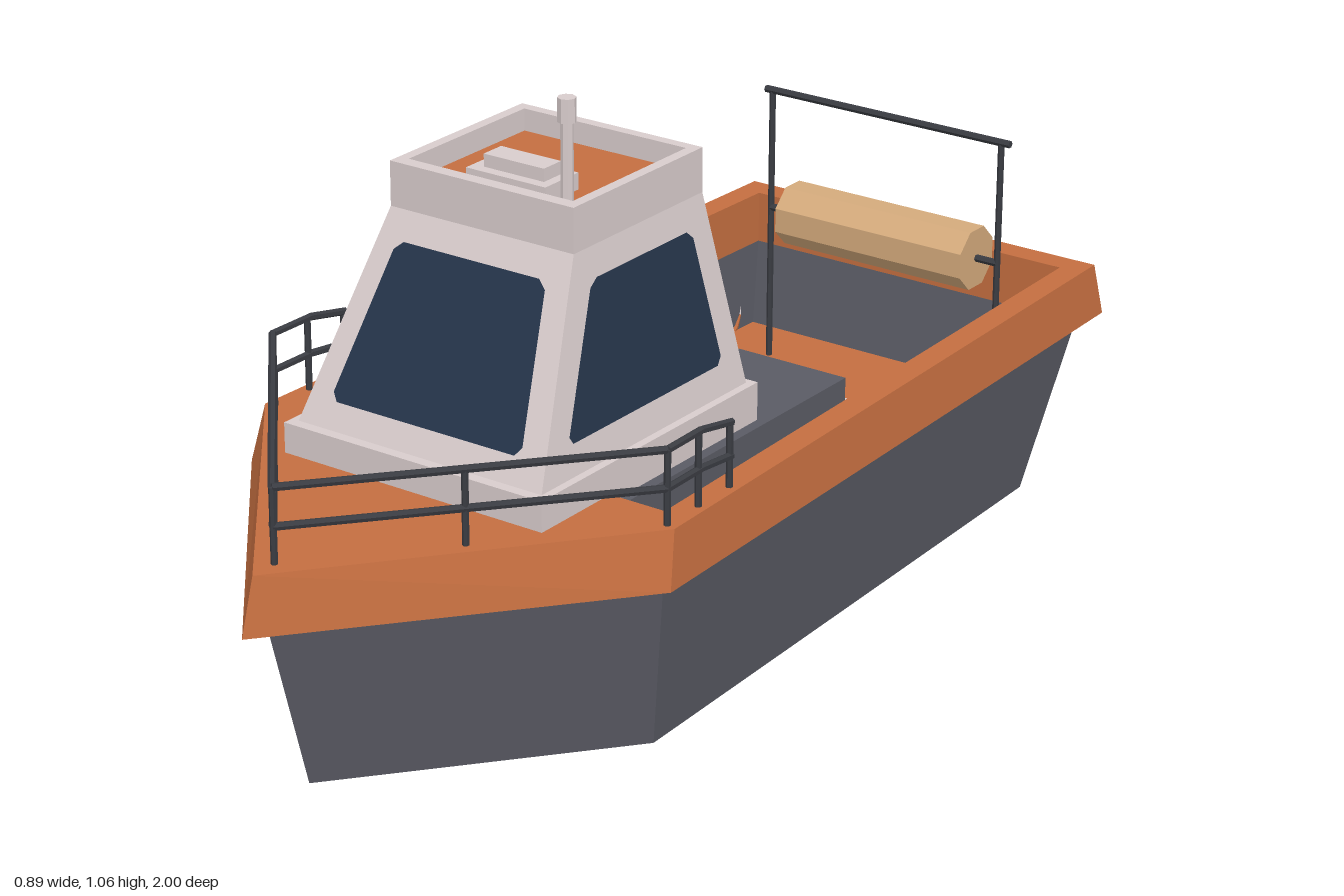
import * as THREE from 'three';

const mat = (name, color, side = THREE.FrontSide) => {
  const m = new THREE.MeshStandardMaterial({ color, side });
  m.name = name;
  return m;
};

// Flat-faced skin through stacked outlines of [x, y, z] points; optional end caps
function loft(rings, capFirst = false, capLast = false) {
  const pos = [];
  const tri = (a, b, c) => pos.push(...a, ...b, ...c);
  for (let r = 0; r < rings.length - 1; r++) {
    const lo = rings[r], hi = rings[r + 1], n = lo.length;
    for (let i = 0; i < n; i++) {
      const j = (i + 1) % n;
      tri(lo[i], hi[i], hi[j]);
      tri(lo[i], hi[j], lo[j]);
    }
  }
  const first = rings[0], last = rings[rings.length - 1];
  for (let i = 1; i < first.length - 1; i++) {
    if (capFirst) tri(first[0], first[i], first[i + 1]);
    if (capLast) tri(last[0], last[i + 1], last[i]);
  }
  const g = new THREE.BufferGeometry();
  g.setAttribute('position', new THREE.Float32BufferAttribute(pos, 3));
  g.computeVertexNormals();
  return g;
}

const flat = (geo) => {
  const g = geo.index ? geo.toNonIndexed() : geo;
  g.computeVertexNormals();
  return g;
};

// Five-sided boat outline: stern, shoulder, bow, mirrored
const hullRing = (y, sx, sz, hx, hz, bow) =>
  [[sx, y, sz], [hx, y, hz], [0, y, bow], [-hx, y, hz], [-sx, y, sz]];
const wellRing = (y, sx, sz, hx, hz) =>
  [[sx, y, sz], [hx, y, hz], [-hx, y, hz], [-sx, y, sz]];
const rect = (y, x, z0, z1) => wellRing(y, x, z0, x, z1);

// Cuts each corner of a 2D polygon
function chamfer(pts, d) {
  const out = [];
  pts.forEach((p, i) => {
    const v = new THREE.Vector2(...p);
    for (const k of [i + pts.length - 1, i + 1]) {
      const q = new THREE.Vector2(...pts[k % pts.length]);
      out.push(v.clone().add(q.sub(v).setLength(d)).toArray());
    }
  });
  return out;
}

export function createModel() {
  const model = new THREE.Group();
  model.name = 'boat';
  const orange = mat('orange paint', 0xc46e40);
  const grey = mat('hull grey', 0x5a5b64);
  const light = mat('light grey', 0xd8cccc);
  const glass = mat('dark glass', 0x25344a, THREE.DoubleSide);
  const dark = mat('rail metal', 0x3a3c42);
  const tan = mat('tan roller', 0xd4aa7c);

  const add = (name, geo, material, parent = model) => {
    const m = new THREE.Mesh(geo, material);
    m.name = name;
    parent.add(m);
    return m;
  };
  const box = (name, material, x0, x1, y0, y1, z0, z1) =>
    add(name, new THREE.BoxGeometry(x1 - x0, y1 - y0, z1 - z0), material)
      .position.set((x0 + x1) / 2, (y0 + y1) / 2, (z0 + z1) / 2);
  // Straight round bar between two points
  const bar = (name, a, b, r, material = dark, sides = 6) => {
    const p = new THREE.Vector3(...a), q = new THREE.Vector3(...b);
    const d = q.clone().sub(p);
    const m = add(name, flat(new THREE.CylinderGeometry(r, r, d.length(), sides)), material);
    m.position.copy(p).add(q).multiplyScalar(0.5);
    m.quaternion.setFromUnitVectors(new THREE.Vector3(0, 1, 0), d.normalize());
    return m;
  };

  // Hull and gunwale
  const hullTop = hullRing(0.32, 0.365, -0.96, 0.415, 0.442, 0.94);
  const rimTop = hullRing(0.42, 0.385, -0.98, 0.433, 0.437, 0.97);
  add('hull', loft([hullRing(0, 0.325, -0.84, 0.37, 0.405, 0.85), hullTop], true), grey);
  add('gunwale', loft([hullTop, hullRing(0.32, 0.395, -1, 0.445, 0.463, 1), rimTop]), orange);

  // Deck with the open well cut out
  const wellTop = wellRing(0.42, 0.34, -0.93, 0.38, 0.39);
  const wellMid = wellRing(0.32, 0.34, -0.93, 0.38, 0.39);
  const wellLow = wellRing(0.16, 0.33, -0.9, 0.368, 0.39);
  const to2D = (ring) => ring.map(([x, , z]) => new THREE.Vector2(x, -z));
  const deck = new THREE.Shape(to2D(rimTop));
  deck.holes.push(new THREE.Path(to2D(wellTop)));
  add('deck', new THREE.ShapeGeometry(deck).rotateX(-Math.PI / 2).translate(0, 0.42, 0), orange);
  add('wellCoaming', loft([wellTop, wellMid]), orange);
  add('wellWalls', loft([wellMid, wellLow]), grey);
  add('wellFloor', loft([wellLow], false, true), orange);
  box('engineCasing', grey, -0.29, 0.29, 0.16, 0.405, -0.28, 0.39);
  box('step', light, -0.29, 0.29, 0.16, 0.25, -0.51, -0.28);

  // Cabin: plinth, sloped walls and roof parapet
  const roofRing = rect(0.86, 0.17, 0.04, 0.355);
  add('cabin', loft([
    rect(0.4, 0.27, -0.035, 0.575), rect(0.475, 0.27, -0.035, 0.575),
    rect(0.475, 0.255, -0.022, 0.555), rect(0.82, 0.19, 0.02, 0.38),
    rect(0.9, 0.19, 0.02, 0.38), rect(0.9, 0.17, 0.04, 0.355), roofRing,
  ]), light);
  add('cabinRoof', loft([roofRing], false, true), orange);

  // Windows lie just proud of the sloped walls
  const frontZ = (y) => 0.555 - (y - 0.475) * 0.507 + 0.005;
  const sideX = (y) => 0.255 - (y - 0.475) * 0.188 + 0.004;
  const frontPane = chamfer([[-0.2, 0.52], [0.2, 0.52], [0.155, 0.775], [-0.155, 0.775]], 0.014);
  const sidePane = chamfer([[0.475, 0.53], [0.04, 0.53], [0.07, 0.77], [0.35, 0.77]], 0.014);
  add('frontWindow', loft([frontPane.map(([x, y]) => [x, y, frontZ(y)]).reverse()], false, true), glass);
  const left = sidePane.map(([z, y]) => [sideX(y), y, z]);
  add('leftWindow', loft([left], true), glass);
  add('rightWindow', loft([left.map(([x, y, z]) => [-x, y, z])], false, true), glass);

  // Roof hatch and mast
  box('roofHatchBase', light, -0.085, 0.08, 0.86, 0.89, 0.22, 0.31);
  box('roofHatchTop', light, -0.063, 0.062, 0.89, 0.913, 0.243, 0.29);
  bar('mast', [0.127, 0.86, 0.313], [0.127, 1.015, 0.313], 0.011, light, 8);
  bar('mastHead', [0.127, 1.015, 0.313], [0.127, 1.057, 0.313], 0.016, light, 8);

  // Bow rails
  for (const [y, drop] of [[0.553, 0.018], [0.485, 0.01]]) {
    const half = [[0.41, y - drop, 0.245], [0.413, y, 0.335], [0.415, y, 0.432], [0, y, 0.917]];
    for (const s of [1, -1])
      for (let i = 0; i < 3; i++) {
        const [a, b] = [half[i], half[i + 1]].map(([px, py, pz]) => [s * px, py, pz]);
        bar('bowRail', a, b, 0.007);
      }
  }
  bar('railPost', [0, 0.42, 0.917], [0, 0.553, 0.917], 0.006);
  for (const s of [1, -1])
    for (const [x, z, y] of [[0.2, 0.683, 0.553], [0.415, 0.432, 0.553], [0.413, 0.343, 0.553], [0.41, 0.25, 0.537]])
      bar('railPost', [s * x, 0.42, z], [s * x, y, z], 0.006);

  // Stern frame with net roller
  for (const x of [-0.21, 0.293]) bar('framePost', [x, 0.16, -0.78], [x, 0.7, -0.78], 0.006);
  bar('frameBar', [-0.225, 0.7, -0.78], [0.312, 0.7, -0.78], 0.007);
  bar('rollerAxle', [-0.21, 0.465, -0.78], [0.293, 0.465, -0.78], 0.007);
  const roller = add('roller', flat(new THREE.CylinderGeometry(0.061, 0.061, 0.41, 8)
    .rotateY(Math.PI / 8).rotateZ(Math.PI / 2)), tan);
  roller.position.set(0.043, 0.465, -0.78);

  // Life rings along the right side, in alternating arcs
  for (let k = 0; k < 5; k++) {
    const z = -0.8 + k * 0.193;
    const ring = new THREE.Group();
    ring.name = 'lifeRing';
    ring.position.set(-(0.405 + (z - 0.42) * 0.035), 0.21, z);
    ring.rotation.set(0, -0.035, 0.14);
    for (let i = 0; i < 8; i++) {
      const arc = flat(new THREE.TorusGeometry(0.066, 0.025, 8, 2, Math.PI / 4)
        .rotateZ((i - 0.5) * Math.PI / 4).rotateY(Math.PI / 2));
      add('ringArc', arc, i % 2 ? orange : light, ring);
    }
    model.add(ring);
  }
  return model;
}
